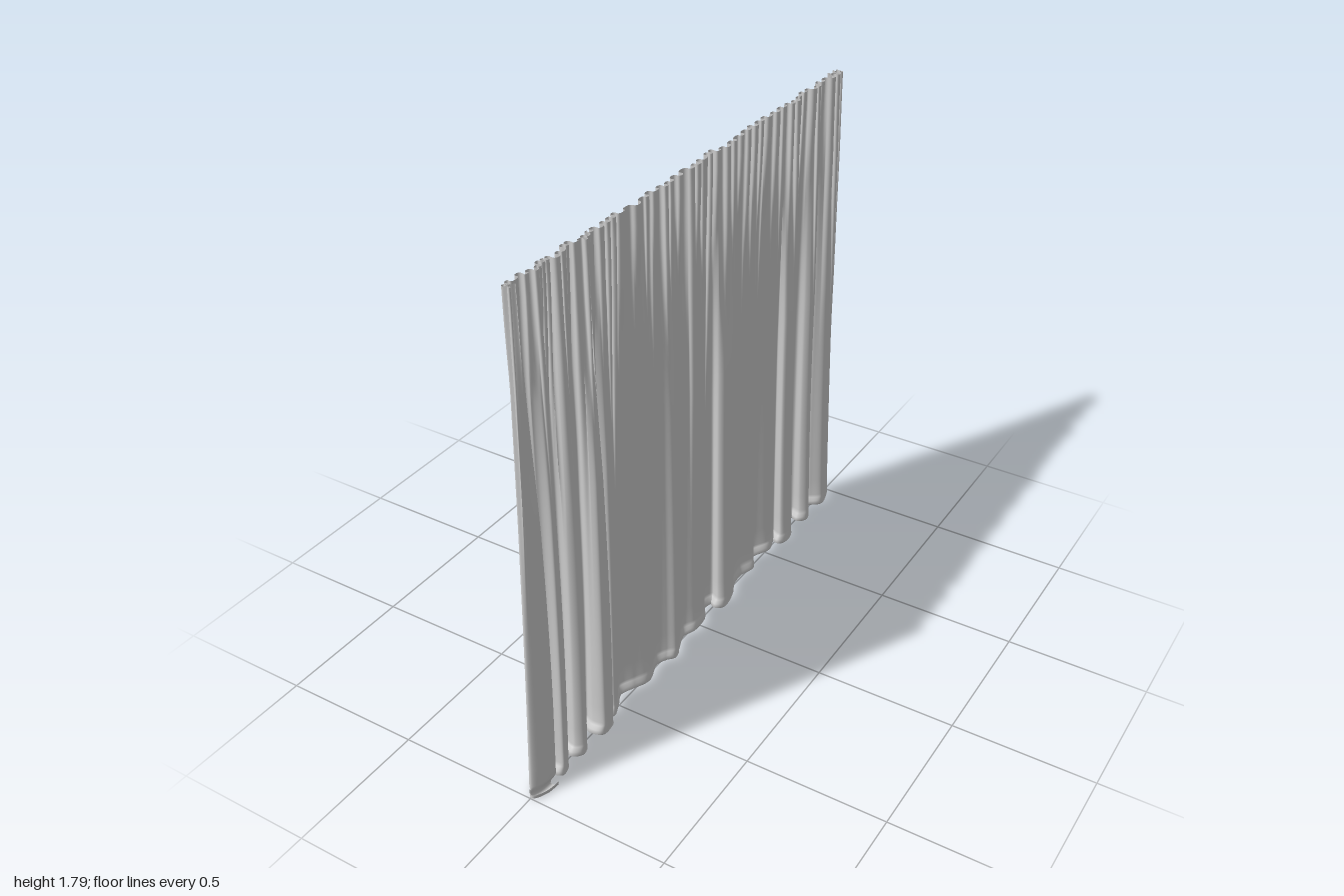
import * as THREE from 'three';

const HEIGHT = 1.79, COLS = 1100;

// Broad folds at floor level, as [z, x] pairs that double back where cloth overlaps
const FOLDS = [
  [-0.90, -0.035], [-0.95, -0.035], [-1.0, 0.0], [-0.95, 0.025], [-0.90, 0.03], [-0.87, 0.0], [-0.85, -0.025],
  [-0.81, -0.025], [-0.82, 0.01], [-0.78, 0.03], [-0.755, 0.01], [-0.76, -0.02], [-0.72, -0.035], [-0.67, -0.025],
  [-0.67, 0.015], [-0.62, 0.035], [-0.58, 0.02], [-0.59, -0.012], [-0.52, 0.005], [-0.45, -0.025],
  [-0.41, -0.025], [-0.40, 0.005], [-0.33, -0.012], [-0.26, 0.0], [-0.22, 0.02], [-0.14, 0.033], [-0.12, 0.015],
  [-0.13, -0.012], [-0.07, -0.022], [-0.04, 0.008], [0.03, 0.012], [0.08, -0.008], [0.14, 0.012],
  [0.19, 0.03], [0.22, 0.01], [0.26, -0.005], [0.34, 0.016], [0.40, -0.005], [0.46, -0.025], [0.51, 0.0],
  [0.55, 0.012], [0.57, -0.025], [0.60, -0.02], [0.58, 0.025], [0.64, 0.032], [0.65, -0.005], [0.64, -0.032],
  [0.70, -0.03], [0.71, 0.01], [0.75, 0.03], [0.775, 0.01], [0.77, -0.025], [0.82, -0.03], [0.82, 0.015],
  [0.86, 0.025], [0.87, -0.01], [0.91, -0.035], [0.96, -0.025], [1.0, 0.0], [0.96, 0.022], [0.91, 0.03],
];

function seeded(seed) {
  return () => {
    seed = (seed * 16807) % 2147483647;
    return seed / 2147483647;
  };
}

// Fit a list of values into the range lo..hi
function fit(values, lo, hi) {
  const a = Math.min(...values), b = Math.max(...values);
  return values.map(v => lo + (v - a) / (b - a) * (hi - lo));
}

function createCloth() {
  const random = seeded(4127);
  const curve = new THREE.CatmullRomCurve3(FOLDS.map(([z, x]) => new THREE.Vector3(x, 0, z)));
  curve.arcLengthDivisions = 1500;
  const path = curve.getSpacedPoints(COLS);

  // Straightened version of the path, followed near the gathered heading
  const calm = path.map((p, i) => {
    let sum = 0;
    for (let k = -30; k <= 30; k++) sum += path[THREE.MathUtils.clamp(i + k, 0, COLS)].z;
    return sum / 61;
  });

  // Narrow gathers, each running a different way down the cloth
  const gathers = [];
  for (let start = 0; start < COLS;) {
    const width = 6 + Math.floor(random() * 11);
    gathers.push({ start, width, size: (0.5 + 0.5 * random()) * (gathers.length % 2 ? 1 : -1), reach: 0.35 + 1.15 * random() ** 1.6 });
    start += width;
  }
  const gatherAt = [];
  for (const g of gathers) for (let i = 0; i < g.width; i++) gatherAt[g.start + i] = g;

  // Row heights, ending in a small rolled hem: [height, outward bulge]
  const rows = [];
  for (let j = 0; j <= 26; j++) rows.push([HEIGHT - (HEIGHT - 0.05) * j / 26, 0]);
  rows.push([0.035, 0.003], [0.022, 0.008], [0.008, 0.010], [0.0, 0.005], [0.002, -0.003], [0.014, -0.006]);

  const positions = [], index = [];
  rows.forEach(([y, bulge], r) => {
    const drop = 1 - y / HEIGHT;
    const broad = THREE.MathUtils.smoothstep(drop, -0.1, 0.85);
    let xs = [], zs = [];
    path.forEach((p, i) => {
      const g = gatherAt[Math.min(i, COLS - 1)];
      const phase = Math.PI * (i - g.start) / g.width;
      const fade = 1 - THREE.MathUtils.smoothstep(drop * HEIGHT, 0, g.reach);
      const a = path[Math.max(i - 2, 0)], b = path[Math.min(i + 2, COLS)];
      const len = Math.hypot(b.x - a.x, b.z - a.z) || 1;
      const ripple = g.size * Math.sin(phase) * 0.016 * fade;
      xs.push(p.x * (0.25 + 0.75 * broad) + ripple + bulge * (b.z - a.z) / len);
      zs.push(THREE.MathUtils.lerp(calm[i], p.z, broad) - 0.005 * fade * Math.sin(2 * phase) - bulge * (b.x - a.x) / len);
    });
    const half = 0.943 + 0.057 * drop ** 1.6;
    xs = fit(xs, -0.023 - 0.018 * drop, 0.021 + 0.021 * drop);
    zs = fit(zs, -half, half);
    for (let i = 0; i <= COLS; i++) {
      // The hem rises and dips slightly from fold to fold
      const sag = y < 0.05 ? 0.005 * (1 + Math.sin(i * 0.045) * Math.cos(i * 0.017)) : 0;
      positions.push(xs[i], y + sag, zs[i]);
      if (r > 0 && i > 0) {
        const d = r * (COLS + 1) + i, c = d - 1, u = d - COLS - 1, t = u - 1;
        index.push(t, u, c, u, d, c);
      }
    }
  });

  const geometry = new THREE.BufferGeometry();
  geometry.setAttribute('position', new THREE.Float32BufferAttribute(positions, 3));
  geometry.setIndex(index);
  geometry.computeVertexNormals();
  return geometry;
}

export function createModel() {
  const fabric = new THREE.MeshStandardMaterial({ color: 0xcccccc, side: THREE.DoubleSide });
  fabric.name = 'lightGreyFabric';
  const curtain = new THREE.Mesh(createCloth(), fabric);
  curtain.name = 'curtainCloth';
  const model = new THREE.Group();
  model.name = 'curtain';
  model.add(curtain);
  return model;
}
